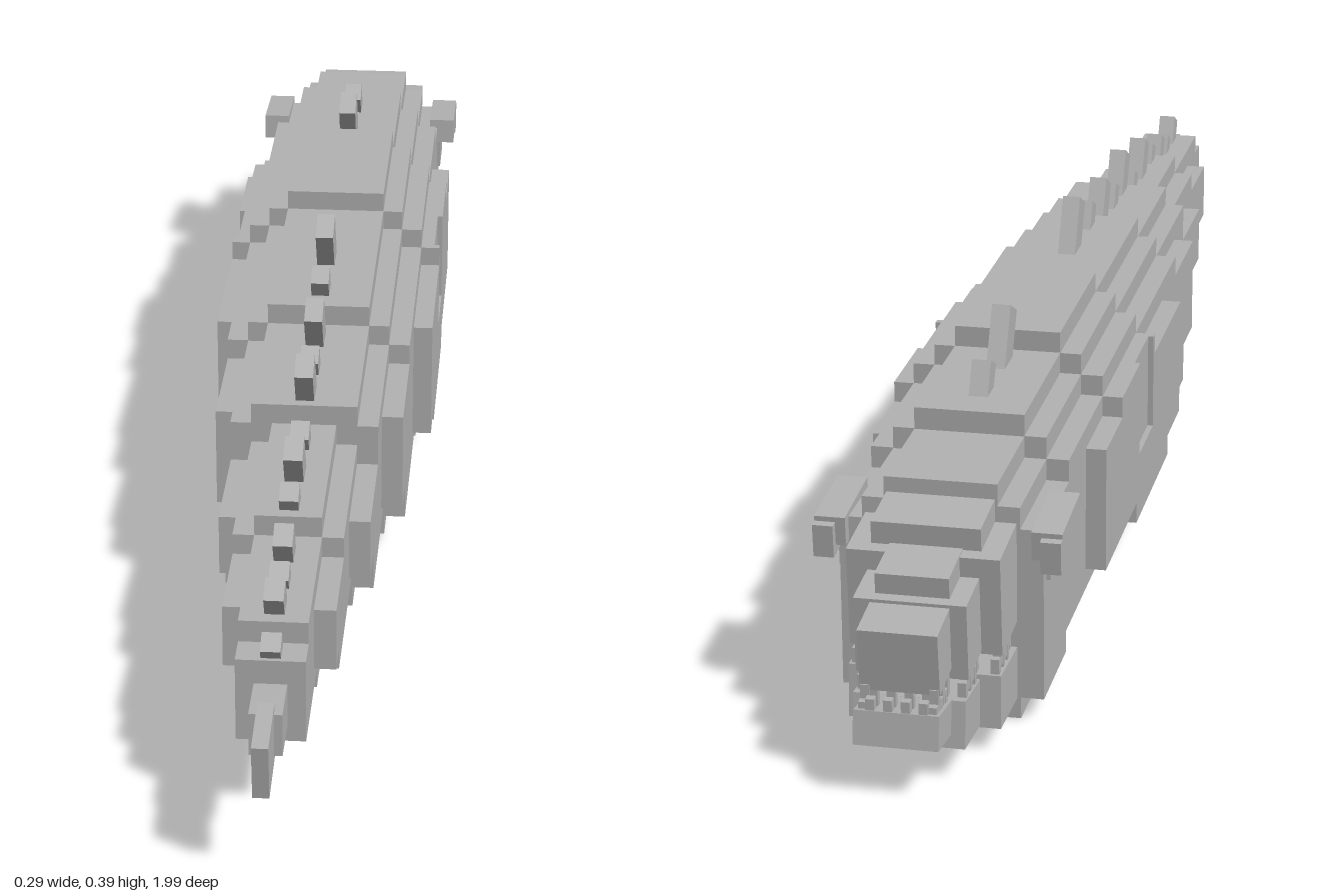
import * as THREE from 'three';

const STEP = 0.0264;
const WIDTHS = [0.04, 0.066, 0.092, 0.119, 0.144];

// Value of a stepped profile at z: rows are [upper z limit, value], ascending
const at = (rows, z) => rows.find(r => z < r[0])[1];
const TOP = [[-0.62, 0.289], [-0.405, 0.316], [-0.17, 0.342], [0.145, 0.316], [0.38, 0.289], [0.62, 0.263], [0.82, 0.237], [2, 0.21]];
const BOTTOM = [[-0.64, 0], [-0.30, 0.027], [-0.06, 0], [0.225, 0.027], [0.46, 0.053], [0.70, 0.08], [2, 0.106]];
const WIDTH = [[-0.515, 3], [0.035, 4], [0.30, 3], [0.53, 2], [0.745, 1], [2, 0]];
const TOP_START = [[0.38, 1], [2, 0]];
const BOTTOM_START = [[0.225, 2], [0.46, 1], [2, 0]];

export function createModel() {
  const model = new THREE.Group();
  const hide = new THREE.MeshStandardMaterial({ color: 0xb3b3b3 });
  hide.name = 'grey hide';

  function add(name, geometry, parent = model) {
    const mesh = new THREE.Mesh(geometry, hide);
    mesh.name = name;
    parent.add(mesh);
    return mesh;
  }

  // Box between limits in y and z, centred on x, with optional pitch
  function block(name, half, y0, y1, z0, z1, x = 0, tilt = 0, parent = model) {
    const mesh = add(name, new THREE.BoxGeometry(half * 2, y1 - y0, Math.abs(z1 - z0)), parent);
    mesh.position.set(x, (y0 + y1) / 2, (z0 + z1) / 2);
    mesh.rotation.x = tilt;
    return mesh;
  }

  // Stepped body: one extruded staircase outline for every stretch of z
  const body = new THREE.Group();
  body.name = 'body';
  model.add(body);
  const cuts = [-0.77, -0.64, -0.62, -0.515, -0.405, -0.30, -0.28, -0.18, -0.17, -0.06,
    0.035, 0.145, 0.225, 0.30, 0.38, 0.46, 0.53, 0.62, 0.70, 0.745, 0.82, 0.86];
  for (let i = 0; i < cuts.length - 1; i++) {
    const z = (cuts[i] + cuts[i + 1]) / 2;
    const last = at(WIDTH, z);
    const side = [];
    let y = at(BOTTOM, z);
    for (let k = Math.min(at(BOTTOM_START, z), last); k <= last; k++, y += STEP) {
      side.push([WIDTHS[k], y]);
      if (k < last) side.push([WIDTHS[k], y + STEP]);
    }
    // shallow socket in each flank
    if (z > -0.28 && z < -0.18) side.push([WIDTHS[last], 0.14], [0.137, 0.14]);
    const upper = [];
    y = at(TOP, z);
    for (let k = Math.min(at(TOP_START, z), last); k <= last; k++, y -= STEP) {
      const w = z > -0.28 && z < -0.18 && k === last ? 0.137 : WIDTHS[k];
      upper.push([w, y]);
      if (k < last) upper.push([w, y - STEP]);
    }
    side.push(...upper.reverse());
    const outline = side.concat(side.map(([px, py]) => [-px, py]).reverse());
    const shape = new THREE.Shape(outline.map(p => new THREE.Vector2(...p)));
    const slice = new THREE.ExtrudeGeometry(shape, { depth: cuts[i + 1] - cuts[i], bevelEnabled: false });
    add('bodySection', slice, body).position.z = cuts[i];
  }

  // Tail stem and fluke
  block('tailStem', 0.019, 0.127, 0.18, 0.85, 0.925);
  block('tailTip', 0.0095, 0.115, 0.185, 0.91, 0.99, 0, 0.13);

  // Upper jaw, narrowing forward, each section with a narrower crown
  block('skull', 0.088, 0.12, 0.24, -0.76, -0.855, 0, -0.08);
  block('skullCrown', 0.063, 0.22, 0.268, -0.76, -0.842, 0, -0.08);
  block('upperJaw', 0.064, 0.118, 0.21, -0.84, -0.92, 0, -0.08);
  block('upperJawCrown', 0.042, 0.2, 0.236, -0.84, -0.91, 0, -0.1);
  block('snout', 0.045, 0.125, 0.2, -0.91, -0.978, 0, -0.12);

  // Lower jaw, rising toward its tip
  block('lowerJawBase', 0.088, 0.028, 0.092, -0.76, -0.86, 0, 0.05);
  block('lowerJaw', 0.064, 0.036, 0.092, -0.85, -0.935, 0, 0.1);
  block('lowerJawTip', 0.048, 0.06, 0.1, -0.925, -0.995, 0, 0.15);
  block('mouthInside', 0.05, 0.08, 0.13, -0.76, -0.83);

  // Teeth along both jaws
  for (const s of [-1, 1]) {
    for (let i = 0; i < 9; i++) {
      const z = -0.79 - i * 0.022;
      const x = s * (z > -0.85 ? 0.08 : z > -0.92 ? 0.057 : 0.039);
      block('upperTooth', 0.005, 0.1, 0.128, z, z - 0.01, x);
      block('lowerTooth', 0.005, 0.08, 0.112, z - 0.011, z - 0.02, x);
    }
    // Eye with its heavy brow
    block('eye', 0.006, 0.17, 0.21, -0.69, -0.755, s * 0.118);
    block('brow', 0.018, 0.21, 0.245, -0.68, -0.785, s * 0.126, -0.08);
    block('browHook', 0.012, 0.195, 0.235, -0.765, -0.795, s * 0.132, -0.08);
  }
  for (const x of [-0.03, -0.01, 0.01, 0.03]) {
    block('frontTooth', 0.005, 0.1, 0.13, -0.963, -0.973, x);
    block('frontTooth', 0.005, 0.09, 0.118, -0.98, -0.99, x);
  }

  // Back spines leaning toward the tail: [z, height above the back]
  const spines = [[-0.55, 0.04], [-0.44, 0.07], [0.005, 0.07], [0.1, 0.037], [0.2, 0.065], [0.28, 0.035],
    [0.355, 0.06], [0.435, 0.033], [0.52, 0.056], [0.59, 0.03], [0.67, 0.045], [0.73, 0.028], [0.79, 0.04], [0.84, 0.025]];
  for (const [z, h] of spines) {
    const y = at(TOP, z);
    const depth = 0.018 + h * 0.32;
    block('backSpine', 0.0115, y - 0.02, y + h - 0.005, z - depth / 2, z + depth / 2, 0, 0.48);
  }

  return model;
}
